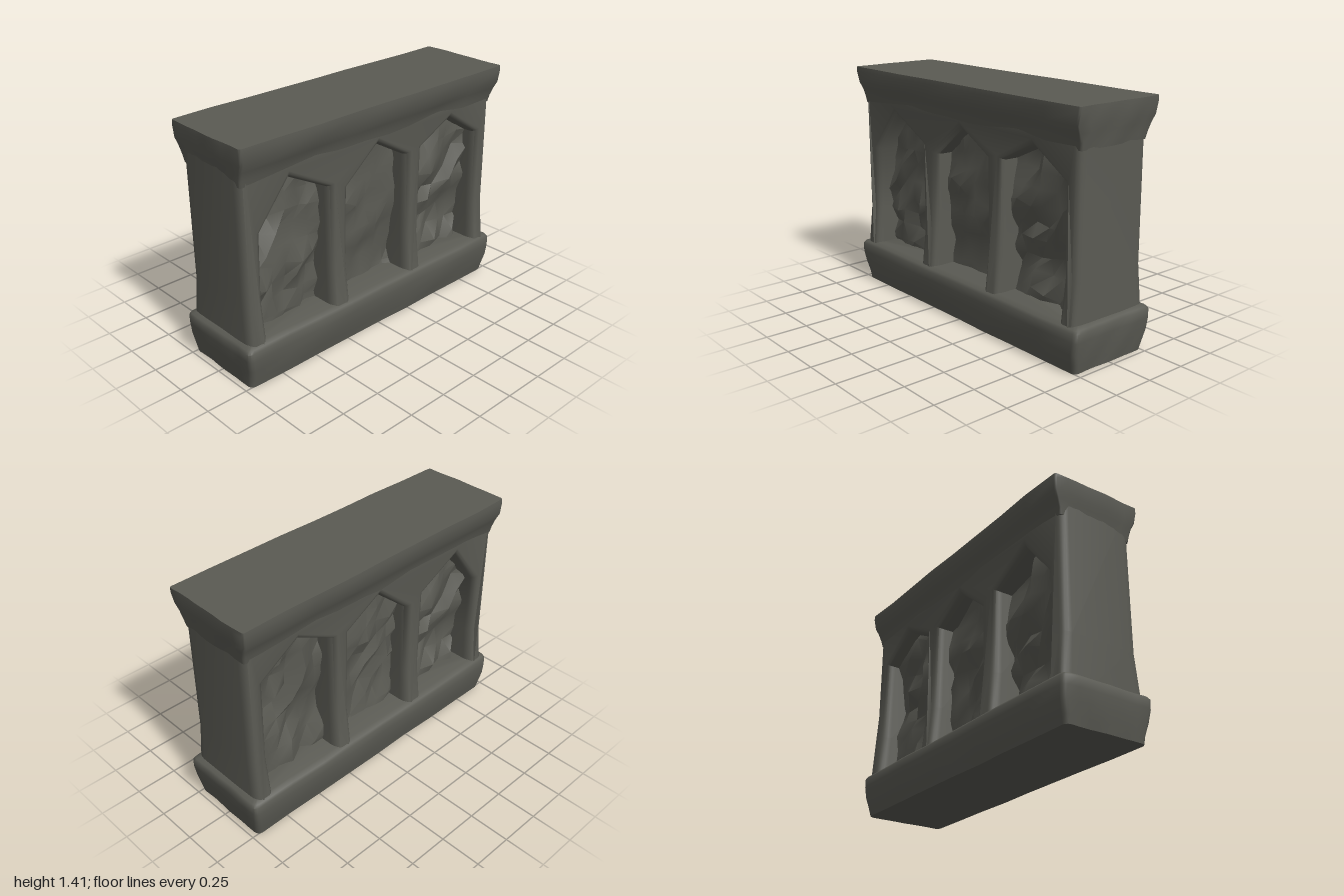
import * as THREE from 'three';
import { toCreasedNormals, mergeVertices } from 'three/addons/utils/BufferGeometryUtils.js';

const stone = new THREE.MeshStandardMaterial({ color: 0x5a5a53 });
stone.name = 'dark stone';

function seeded(seed) {
  let s = seed;
  return () => (s = (s * 16807) % 2147483647) / 2147483647;
}

// gentle hand-hewn unevenness
const wobble = (a, b) => 0.005 * Math.sin(a * 5.3 + b * 3.1) + 0.004 * Math.sin(a * 11 - b * 7);

function add(group, name, geometry) {
  const mesh = new THREE.Mesh(geometry, stone);
  mesh.name = name;
  group.add(mesh);
}

// rounded-rectangle outline, with extra points along each straight edge
function ring(hx, hz, r) {
  const pts = [];
  const corners = [[1, 1], [-1, 1], [-1, -1], [1, -1]];
  corners.forEach(([sx, sz], q) => {
    for (let k = 0; k <= 3; k++) {
      const a = (q + k / 3) * Math.PI / 2;
      pts.push([sx * (hx - r) + r * Math.cos(a), sz * (hz - r) + r * Math.sin(a)]);
    }
    const [nx, nz] = corners[(q + 1) % 4];
    const [lx, lz] = pts[pts.length - 1];
    const ex = q % 2 ? nx * hx : nx * (hx - r);
    const ez = q % 2 ? nz * (hz - r) : nz * hz;
    for (let k = 1; k < 8; k++) pts.push([lx + (ex - lx) * k / 8, lz + (ez - lz) * k / 8]);
  });
  return pts;
}

// stacked outlines [y, half width, half length] closed by caps
function loft(levels, r) {
  const pos = [], idx = [];
  let n = 0;
  for (const [y, hx, hz] of levels) {
    const pts = ring(hx, hz, r);
    n = pts.length;
    for (const [x, z] of pts) {
      const w = wobble(z * 1.3, x * 4 + y * 3);
      pos.push(x * (1 + w * 2), y, z + w * 0.5);
    }
  }
  const top = (levels.length - 1) * n;
  for (let l = 0; l < levels.length - 1; l++) {
    for (let i = 0; i < n; i++) {
      const j = (i + 1) % n, a = l * n + i, b = l * n + j;
      idx.push(a, a + n, b, b, a + n, b + n);
    }
  }
  const c = pos.length / 3;
  pos.push(0, levels[0][0], 0, 0, levels[levels.length - 1][0], 0);
  for (let i = 0; i < n; i++) {
    const j = (i + 1) % n;
    idx.push(c, i, j, c + 1, top + j, top + i);
  }
  const g = new THREE.BufferGeometry();
  g.setAttribute('position', new THREE.Float32BufferAttribute(pos, 3));
  g.setIndex(idx);
  return toCreasedNormals(g, 0.9);
}

// pointed niches: left, right, left shoulder, right shoulder, apex position, apex height
const niches = [
  [-0.84, -0.37, 0.89, 1.0, -0.64, 1.14],
  [-0.23, 0.23, 0.96, 1.02, 0.0, 1.15],
  [0.36, 0.84, 1.03, 1.0, 0.6, 1.15],
];

// wall pierced by the niches, edges rounded on both faces
function arcade() {
  const path = pts => pts.map(p => new THREE.Vector2(...p));
  const shape = new THREE.Shape(path([
    [-0.965, 0.1], [0.965, 0.1], [0.955, 0.5], [0.955, 1.3], [-0.965, 1.3], [-0.958, 0.5],
  ]));
  for (const [a, b, ya, yb, m, ym] of niches) {
    shape.holes.push(new THREE.Path(path(
      [[a, 0.2], [a - 0.008, 0.5], [a, ya], [m, ym], [b, yb], [b + 0.008, 0.5], [b, 0.2]])));
  }
  const g = new THREE.ExtrudeGeometry(shape, {
    depth: 0.38, bevelEnabled: true, bevelThickness: 0.053, bevelSize: 0.036,
    bevelOffset: -0.036, bevelSegments: 4,
  });
  g.translate(0, 0, -0.19);
  // the wall flares towards its foot
  const p = g.attributes.position;
  for (let i = 0; i < p.count; i++) {
    p.setZ(i, p.getZ(i) * (1 + 0.16 * Math.max(0, (0.52 - p.getY(i)) / 0.4)));
  }
  g.rotateY(Math.PI / 2);
  return toCreasedNormals(g, 0.8);
}

// broken, rocky infill at the back of a niche
function rubble([a, b, , , , ym], seed, rough) {
  const rnd = seeded(seed);
  const w = b - a + 0.06, h = ym - 0.15;
  let g = new THREE.PlaneGeometry(w, h, 6, 10);
  g.deleteAttribute('uv');
  g.deleteAttribute('normal');
  g = mergeVertices(g);
  const p = g.attributes.position;
  for (let i = 0; i < p.count; i++) {
    const x = p.getX(i), y = p.getY(i);
    const edge = Math.abs(x) > w / 2 - 0.01 || Math.abs(y) > h / 2 - 0.01;
    const jitter = edge ? 0 : 0.045;
    p.setXYZ(i, x + (rnd() - 0.5) * jitter, y + (rnd() - 0.5) * jitter,
      0.125 + 0.02 * y / h + (rnd() - 0.5) * rough + 0.015 * Math.sin(y * 9 + seed));
  }
  g.translate((a + b) / 2, 0.2 + h / 2, 0);
  return toCreasedNormals(g, 0.7);
}

export function createModel() {
  const model = new THREE.Group();
  model.name = 'stone wall with niches';

  add(model, 'base', loft([
    [0, 0.257, 0.965], [0.05, 0.268, 0.974], [0.12, 0.286, 0.986], [0.19, 0.292, 0.994],
    [0.24, 0.29, 0.996], [0.255, 0.28, 0.985], [0.268, 0.25, 0.955],
  ], 0.03));

  add(model, 'arcade', arcade());

  add(model, 'cornice', loft([
    [1.18, 0.238, 0.955], [1.22, 0.246, 0.962], [1.27, 0.264, 0.971], [1.31, 0.284, 0.98],
    [1.38, 0.293, 0.988], [1.408, 0.291, 0.988],
  ], 0.015));

  // rock infill seen from either long side
  for (const side of [1, -1]) {
    const infill = new THREE.Group();
    infill.name = side > 0 ? 'leftInfill' : 'rightInfill';
    infill.rotation.y = side * Math.PI / 2;
    niches.forEach((n, i) => {
      // the far side looks through the same openings in reverse order
      const seen = side > 0 ? n : [-n[1], -n[0], n[3], n[2], -n[4], n[5]];
      add(infill, 'nicheRubble', rubble(seen, 108 + i * 37 - side * 37, i === 1 ? 0.05 : 0.08));
    });
    model.add(infill);
  }
  return model;
}
